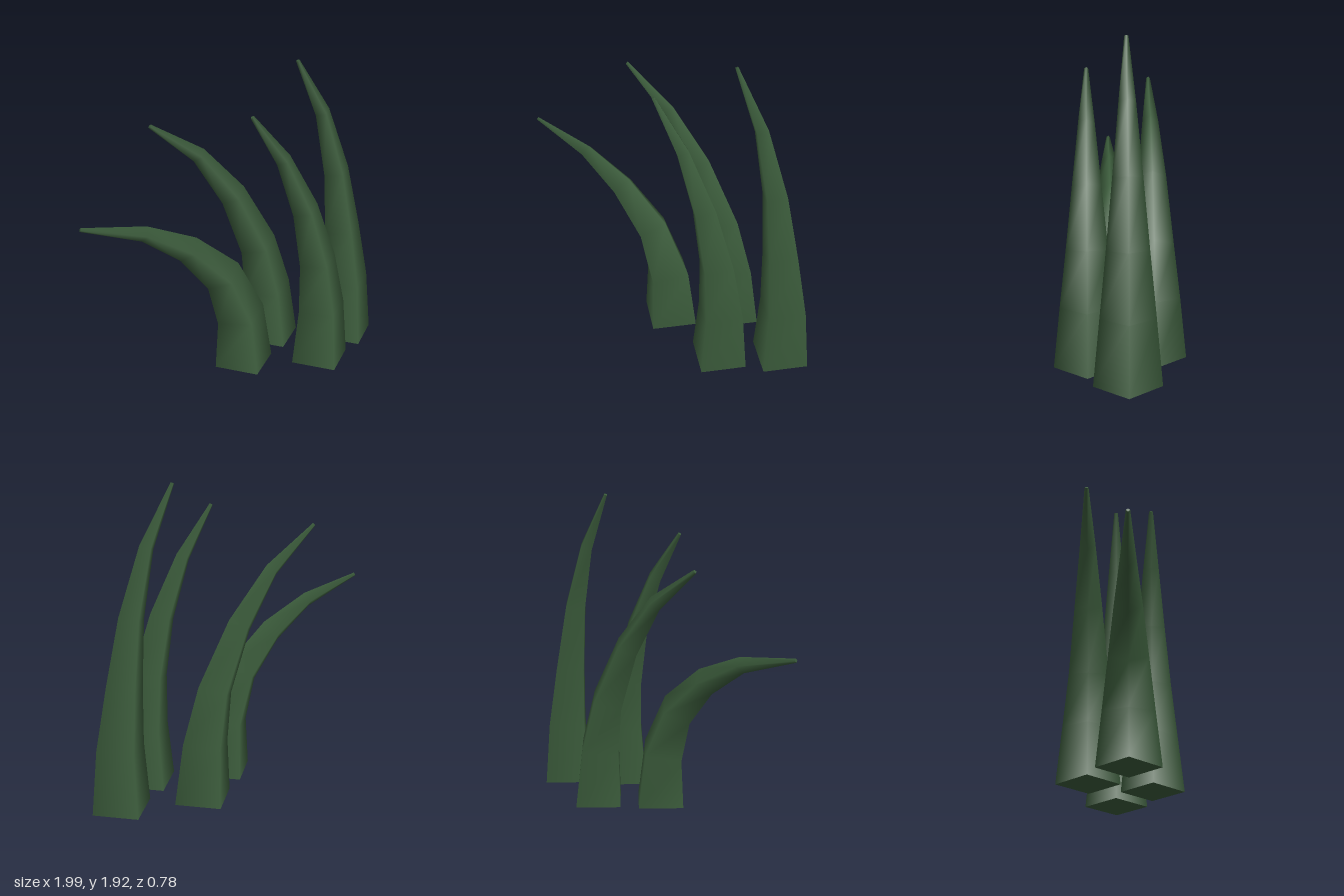
import * as THREE from 'three';

// Each blade: depth position and the [x, y] points of its bent centre line
const blades = [
  { name: 'lowBlade', z: 0.05, path: [[0.03, 0.012], [0.008, 0.35], [-0.11, 0.64], [-0.335, 0.865], [-0.61, 1.02], [-0.995, 1.12]] },
  { name: 'backBlade', z: -0.195, path: [[0.335, 0.005], [0.312, 0.36], [0.243, 0.68], [0.07, 1.05], [-0.157, 1.35], [-0.465, 1.58]] },
  { name: 'frontBlade', z: 0.195, path: [[0.495, 0.005], [0.498, 0.365], [0.46, 0.695], [0.367, 1.05], [0.215, 1.395], [0.01, 1.69]] },
  { name: 'tallBlade', z: -0.03, path: [[0.8, 0], [0.797, 0.39], [0.757, 0.765], [0.7, 1.165], [0.59, 1.565], [0.413, 1.91]] },
];

// A tapered four-sided cylinder whose rings are tilted and moved along the path
function bentBlade(path) {
  const last = path.length - 1;
  const geo = new THREE.CylinderGeometry(0.012, 0.195, 1, 4, last);
  const pos = geo.attributes.position;
  const nor = geo.attributes.normal;
  const up = new THREE.Vector3(0, 0, 1);
  const v = new THREE.Vector3();
  for (let k = 0; k < pos.count; k++) {
    const i = Math.round((pos.getY(k) + 0.5) * last);
    const a = path[Math.max(i - 1, 0)];
    const b = path[Math.min(i + 1, last)];
    // the base ring stays flat on the ground
    const tilt = i === 0 ? 0 : Math.atan2(a[0] - b[0], b[1] - a[1]);
    v.set(pos.getX(k), 0, pos.getZ(k)).applyAxisAngle(up, tilt);
    pos.setXYZ(k, v.x + path[i][0], v.y + path[i][1], v.z);
    v.fromBufferAttribute(nor, k).applyAxisAngle(up, tilt);
    nor.setXYZ(k, v.x, v.y, v.z);
  }
  return geo;
}

export function createModel() {
  const group = new THREE.Group();
  group.name = 'grassTuft';
  const green = new THREE.MeshStandardMaterial({ color: 0x3a5a3a });
  for (const { name, z, path } of blades) {
    const blade = new THREE.Mesh(bentBlade(path), green);
    blade.name = name;
    blade.position.z = z;
    group.add(blade);
  }
  return group;
}
